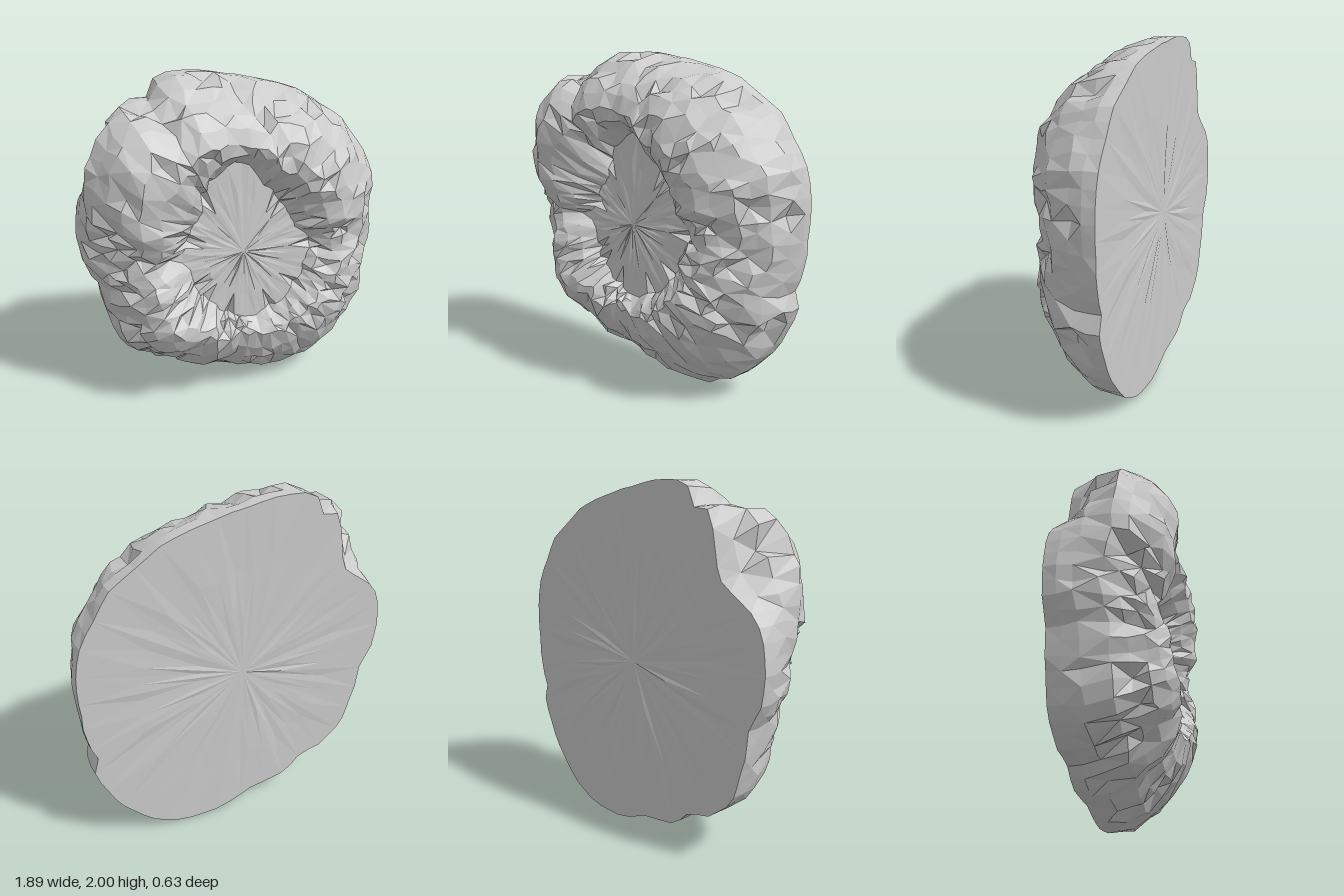
import * as THREE from 'three';

const SEGMENTS = 76;
const BACK_Z = -0.3;
const CENTER_Y = 1;

// Silhouette, counter-clockwise from the right-hand side
const OUTLINE = [
  [0.94, 1.0], [0.91, 1.4], [0.83, 1.52], [0.73, 1.68], [0.6, 1.76], [0.45, 1.86], [0.2, 1.93],
  [0, 1.97], [-0.38, 2.0], [-0.46, 1.97], [-0.5, 1.88], [-0.63, 1.95], [-0.82, 1.82], [-0.92, 1.6],
  [-0.94, 1.2], [-0.91, 0.9], [-0.84, 0.8], [-0.8, 0.55], [-0.74, 0.38], [-0.55, 0.23],
  [-0.45, 0.24], [-0.34, 0.12], [-0.1, 0.09], [0.05, 0.03], [0.2, 0], [0.43, 0.03], [0.6, 0.12],
  [0.75, 0.28], [0.86, 0.48], [0.91, 0.61], [0.87, 0.67], [0.92, 0.8],
];
const TAU = Math.PI * 2;
const RADII = OUTLINE.map(([x, y]) => [
  (Math.atan2(y - CENTER_Y, x) + TAU) % TAU, Math.hypot(x, y - CENTER_Y),
]).sort((a, b) => a[0] - b[0]);

// Values by direction, every 22.5 degrees from the right-hand side
const CREST = [0.17, 0.23, 0.26, 0.25, 0.21, 0.26, 0.32, 0.31, 0.21, 0.26, 0.29, 0.25, 0.2, 0.22, 0.25, 0.22];
const BASIN = [0.45, 0.35, 0.36, 0.42, 0.55, 0.45, 0.3, 0.33, 0.4, 0.38, 0.38, 0.42, 0.45, 0.4, 0.4, 0.42];
const SHOULDER = [0.95, 1, 0.95, 0.9, 0.85, 0.85, 0.8, 0.9, 0.9, 0.95, 1, 1.15, 1.25, 1.25, 1.15, 1];

// Rounded side: [fraction of radius, fraction of height]
const SIDE = [[0.62, 1], [0.72, 0.93], [0.8, 0.82], [0.87, 0.68], [0.93, 0.55], [0.985, 0.3], [1, 0.14], [1, 0]];

function makeRandom(seed) {
  return () => {
    seed = (seed * 1664525 + 1013904223) % 4294967296;
    return seed / 4294967296;
  };
}

function sampleTable(table, angle) {
  const u = (angle / TAU) * table.length;
  const i = Math.floor(u) % table.length;
  const f = (1 - Math.cos((u - Math.floor(u)) * Math.PI)) / 2;
  return THREE.MathUtils.lerp(table[i], table[(i + 1) % table.length], f);
}

function outlineRadius(angle) {
  const n = RADII.length;
  const k = RADII.findIndex(([a]) => a > angle);
  const hi = k < 0 ? 0 : k;
  const [a0, r0] = RADII[(hi + n - 1) % n];
  const [a1, r1] = RADII[hi];
  const span = (a1 - a0 + TAU) % TAU;
  return THREE.MathUtils.lerp(r0, r1, ((angle - a0 + TAU) % TAU) / span);
}

// One radial section from the basin floor over the crest to the back edge
function section(angle) {
  const radius = outlineRadius(angle);
  const crest = sampleTable(CREST, angle);
  const basin = sampleTable(BASIN, angle);
  const shoulder = sampleTable(SHOULDER, angle);
  const floor = 0.09 - 0.03 * Math.sin(angle);
  const side = SIDE.map(([t, h]) => [1 - (1 - t) * shoulder, BACK_Z + h * (crest - BACK_Z)]);
  const top = side[0][0];
  const points = [0.33, 0.67, 1].map((f) => [basin * f, 0.1 + (floor - 0.1) * f]);
  for (const [f, h] of [[0.3, 0.5], [0.65, 0.88]]) {
    points.push([THREE.MathUtils.lerp(basin, top, f), THREE.MathUtils.lerp(floor, crest, h)]);
  }
  points.push(...side);
  // The upper corner on the model's right is chipped away behind
  const chip = 0.27 * Math.exp(-(((angle - 2.45) / 0.3) ** 2));
  return points.map(([t, z], i) => {
    const behind = i < 5 ? 0 : THREE.MathUtils.clamp((-0.02 - z) / 0.25, 0, 1);
    return [t * radius * (1 - chip * behind), z];
  });
}

// Joins rings into a surface closed by a middle point
function ringSurface(rings, middle, flip) {
  const positions = [...middle];
  rings.forEach((ring) => ring.forEach((p) => positions.push(...p)));
  const index = [];
  const face = (a, b, c) => (flip ? index.push(a, c, b) : index.push(a, b, c));
  const at = (r, s) => 1 + r * SEGMENTS + (s % SEGMENTS);
  for (let s = 0; s < SEGMENTS; s++) {
    face(0, at(0, s), at(0, s + 1));
    for (let r = 0; r + 1 < rings.length; r++) {
      const [a, b, c, d] = [at(r, s), at(r + 1, s), at(r + 1, s + 1), at(r, s + 1)];
      if ((r + s) % 2) {
        face(a, b, c);
        face(a, c, d);
      } else {
        face(a, b, d);
        face(b, c, d);
      }
    }
  }
  const geometry = new THREE.BufferGeometry();
  geometry.setAttribute('position', new THREE.Float32BufferAttribute(positions, 3));
  geometry.setIndex(index);
  geometry.computeVertexNormals();
  return geometry;
}

export function createModel() {
  const group = new THREE.Group();
  group.name = 'rock';
  const material = new THREE.MeshStandardMaterial({ color: 0xcccccc, flatShading: true });
  const random = makeRandom(17);
  const jitter = (amount) => (random() - 0.5) * 2 * amount;

  const sections = [];
  for (let s = 0; s < SEGMENTS; s++) sections.push(section((s / SEGMENTS) * TAU));
  const last = sections[0].length - 1;

  // Rugged front with small random chips
  const rings = sections[0].map((_, r) => sections.map((points, s) => {
    const angle = (s / SEGMENTS) * TAU;
    const rough = r < 3 ? 0.006 : r < last - 1 ? 0.018 : 0.004;
    const chip = r > 1 && r < last - 1 && random() < 0.09 ? 0.05 : 0;
    const radius = points[r][0] + jitter(rough) - (r > 5 ? chip : 0);
    const a = angle + (r > 2 && r < last - 1 ? jitter(0.02) : 0);
    const z = r === last ? BACK_Z : points[r][1] + jitter(rough * 0.6) - (r <= 5 ? chip * 0.8 : 0);
    return [
      radius * Math.cos(a),
      THREE.MathUtils.clamp(CENTER_Y + radius * Math.sin(a), 0, 2),
      z,
    ];
  }));
  const front = new THREE.Mesh(ringSurface(rings, [0, CENTER_Y, 0.1], false), material);
  front.name = 'ruggedFront';
  group.add(front);

  // Nearly flat back sharing the front's edge
  const backRings = [0.3, 0.65, 1].map((f) => rings[last].map(([x, y]) => [
    x * f, CENTER_Y + (y - CENTER_Y) * f, BACK_Z + (f < 1 ? jitter(0.004) : 0),
  ]));
  const back = new THREE.Mesh(ringSurface(backRings, [0, CENTER_Y, BACK_Z], true), material);
  back.name = 'flatBack';
  group.add(back);

  return group;
}
